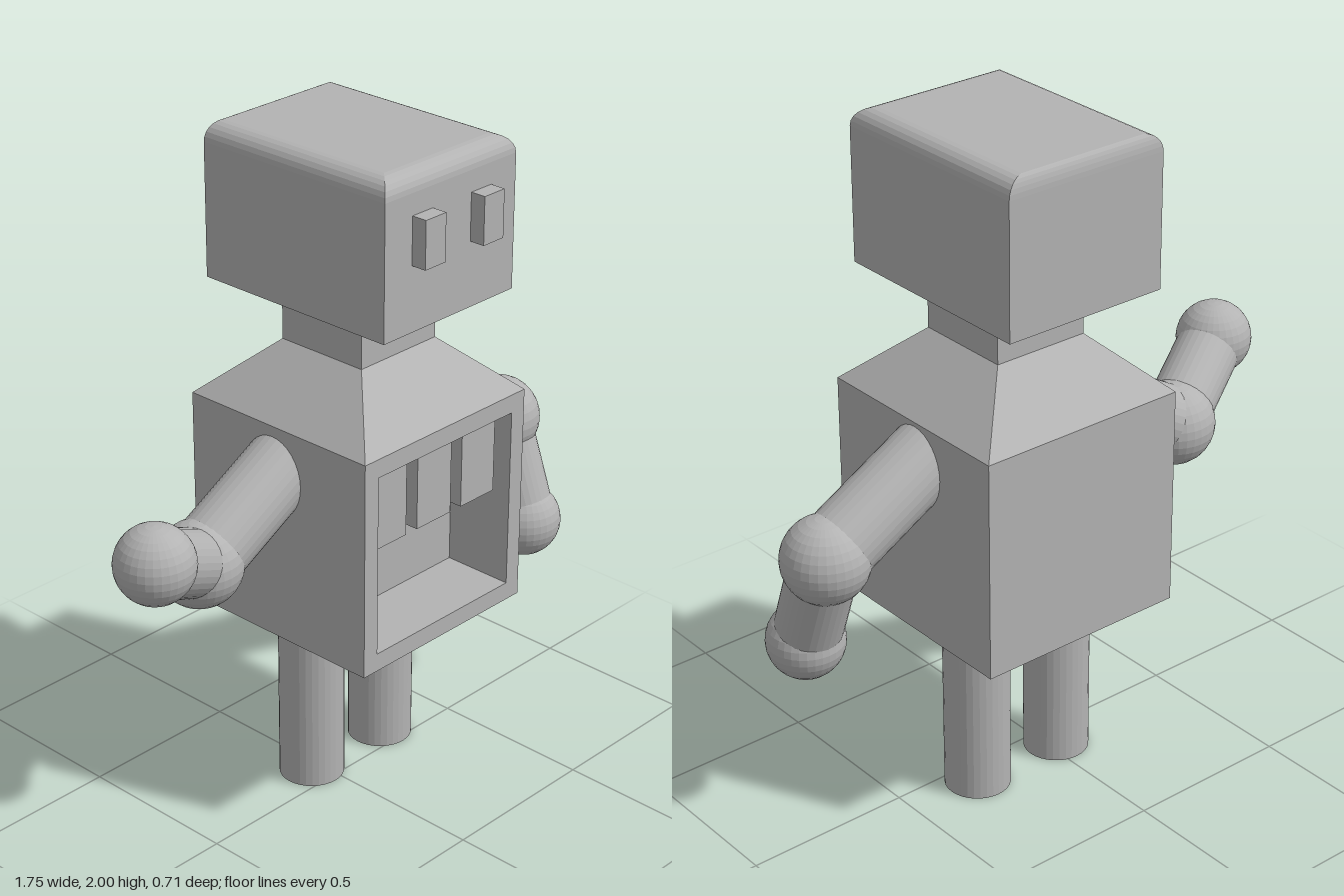
import * as THREE from 'three';

const grey = new THREE.MeshStandardMaterial({ color: 0xb3b3b3, flatShading: true });
grey.name = 'plain grey';

export function createModel() {
  const model = new THREE.Group();
  model.name = 'robot';

  const add = (name, geometry, parent = model) => {
    const mesh = new THREE.Mesh(geometry, grey);
    mesh.name = name;
    parent.add(mesh);
    return mesh;
  };

  // Box given by its limits on each axis
  const box = (name, x0, x1, y0, y1, z0, z1) =>
    add(name, new THREE.BoxGeometry(x1 - x0, y1 - y0, z1 - z0)
      .translate((x0 + x1) / 2, (y0 + y1) / 2, (z0 + z1) / 2));

  // Capped solid through stacked rectangles { x0, x1, z0, z1, y }, bottom to top
  const stack = (name, rings) => {
    const pos = [], idx = [], n = rings.length;
    for (const r of rings) {
      pos.push(r.x0, r.y, r.z1, r.x1, r.y, r.z1, r.x1, r.y, r.z0, r.x0, r.y, r.z0);
    }
    for (let k = 0; k < n - 1; k++) {
      for (let i = 0; i < 4; i++) {
        const a = k * 4 + i, b = k * 4 + (i + 1) % 4;
        idx.push(a, b, b + 4, a, b + 4, a + 4);
      }
    }
    const t = (n - 1) * 4;
    idx.push(0, 2, 1, 0, 3, 2, t, t + 1, t + 2, t, t + 2, t + 3);
    const indexed = new THREE.BufferGeometry();
    indexed.setAttribute('position', new THREE.Float32BufferAttribute(pos, 3));
    indexed.setIndex(idx);
    const g = indexed.toNonIndexed();
    g.computeVertexNormals();
    return add(name, g);
  };

  // Round bar between two points
  const bar = (name, a, b, radius, parent) => {
    const dir = b.clone().sub(a);
    const mesh = add(name, new THREE.CylinderGeometry(radius, radius, dir.length(), 32), parent);
    mesh.position.copy(a).add(b).multiplyScalar(0.5);
    mesh.quaternion.setFromUnitVectors(new THREE.Vector3(0, 1, 0), dir.normalize());
  };

  const ball = (name, p, radius, parent) =>
    add(name, new THREE.SphereGeometry(radius, 32, 16), parent).position.copy(p);

  // Head: upright sides, rounded top edges, tighter at the back
  const headRings = [{ x0: -0.148, x1: 0.37, z0: -0.355, z1: 0.31, y: 1.55 }];
  for (let i = 0; i <= 6; i++) {
    const t = (i / 6) * Math.PI / 2, inset = 1 - Math.cos(t), r = 0.055;
    headRings.push({
      x0: -0.148 + r * inset, x1: 0.37 - r * inset,
      z0: -0.355 + 0.02 * inset, z1: 0.31 - r * inset,
      y: 2 - r + r * Math.sin(t),
    });
  }
  stack('head', headRings);
  box('rightEye', -0.042, 0.037, 1.742, 1.882, 0.3, 0.357);
  box('leftEye', 0.19, 0.27, 1.742, 1.882, 0.3, 0.357);

  // Neck and sloping shoulders
  box('neck', -0.04, 0.26, 1.385, 1.55, -0.17, 0.13);
  stack('shoulders', [
    { x0: -0.217, x1: 0.441, z0: -0.353, z1: 0.31, y: 1.22 },
    { x0: -0.04, x1: 0.26, z0: -0.17, z1: 0.13, y: 1.385 },
  ]);

  // Torso: solid back, with an open frame in front forming the chest recess
  const back = 0.09;
  box('torsoBack', -0.217, 0.441, 0.56, 1.22, -0.353, back);
  const rect = (S, x0, x1, y0, y1) => new S([
    new THREE.Vector2(x0, y0), new THREE.Vector2(x1, y0),
    new THREE.Vector2(x1, y1), new THREE.Vector2(x0, y1),
  ]);
  const frame = rect(THREE.Shape, -0.217, 0.441, 0.56, 1.22);
  frame.holes.push(rect(THREE.Path, -0.164, 0.388, 0.615, 1.164));
  add('torsoFrame', new THREE.ExtrudeGeometry(frame, { depth: 0.31 - back, bevelEnabled: false })
    .translate(0, 0, back));

  // Three blocks inside the recess
  for (let i = 0; i < 3; i++) {
    const x = -0.143 + i * 0.185;
    box('chestBlock' + (i + 1), x, x + 0.14, 0.912, 1.145, back, 0.267);
  }

  // Legs
  for (const [name, x] of [['rightLeg', -0.03], ['leftLeg', 0.268]]) {
    add(name, new THREE.CylinderGeometry(0.097, 0.097, 0.57, 32)).position.set(x, 0.285, -0.074);
  }

  // Arms: left one hangs down, right one is raised
  const v = (x, y, z) => new THREE.Vector3(x, y, z);
  const arm = (name, shoulder, elbow, hand) => {
    const g = new THREE.Group();
    g.name = name;
    model.add(g);
    bar('upperArm', shoulder, elbow, 0.107, g);
    ball('elbow', elbow, 0.126, g);
    bar('forearm', elbow, hand, 0.097, g);
    ball('hand', hand, 0.113, g);
  };
  arm('leftArm', v(0.34, 1.142, -0.037), v(0.747, 0.912, -0.037), v(0.745, 0.605, 0.077));
  arm('rightArm', v(-0.11, 1.126, -0.037), v(-0.5, 0.905, -0.042), v(-0.768, 1.055, 0.075));

  return model;
}
